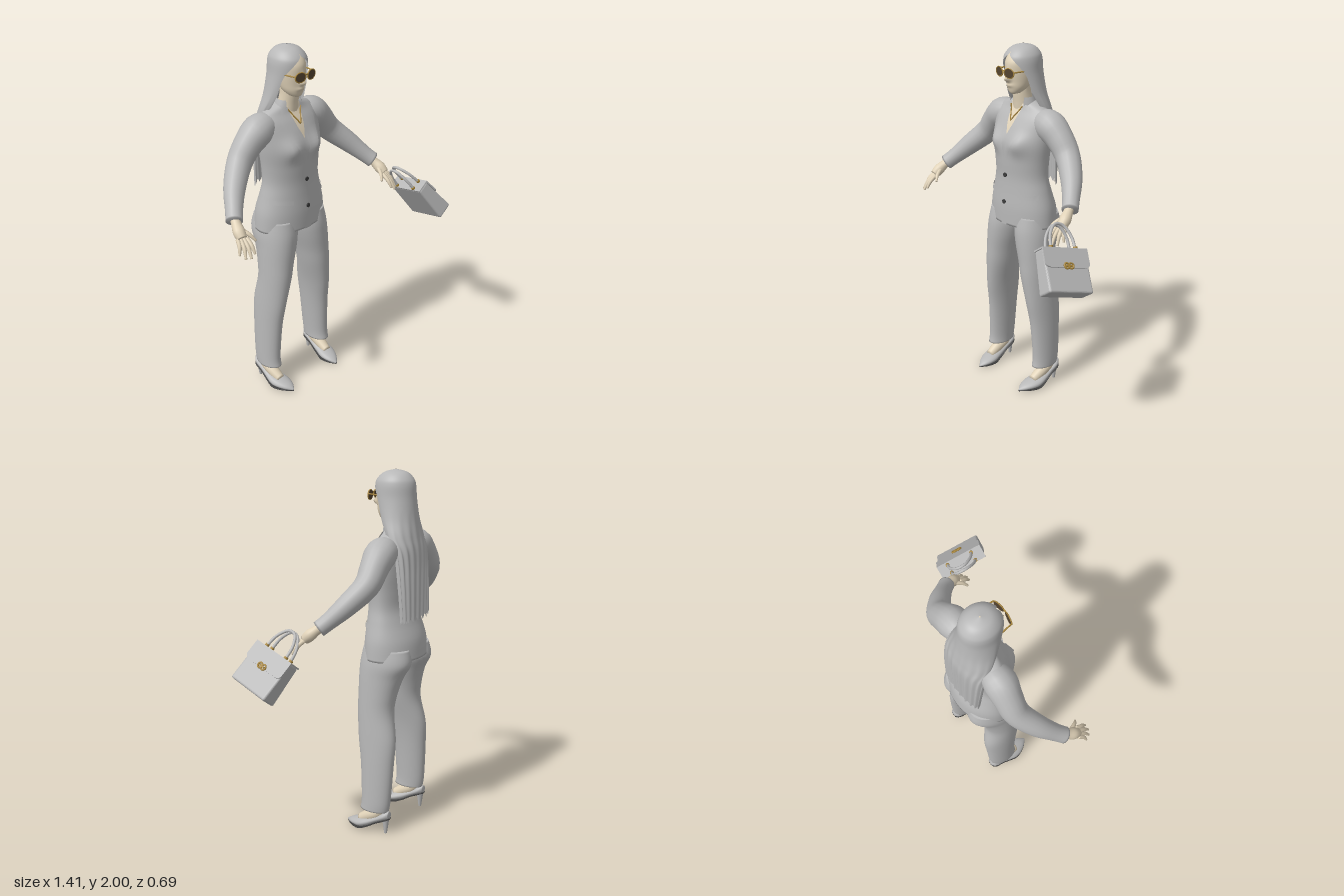
import * as THREE from 'three';
import { RoundedBoxGeometry } from 'three/addons/geometries/RoundedBoxGeometry.js';

const mat = (name, color, side = THREE.FrontSide) => {
  const m = new THREE.MeshStandardMaterial({ color, side });
  m.name = name;
  return m;
};
const V = (x, y, z) => new THREE.Vector3(x, y, z);

// Catmull-Rom resampling of rows of numbers
function resample(keys, n) {
  const out = [], last = keys.length - 1;
  for (let i = 0; i <= n; i++) {
    const f = (i / n) * last, k = Math.min(Math.floor(f), last - 1), t = f - k;
    const [a, b, c, d] = [k - 1, k, k + 1, k + 2].map((q) => keys[Math.min(Math.max(q, 0), last)]);
    out.push(b.map((_, j) => b[j] + 0.5 * t * (c[j] - a[j] + t * (2 * a[j] - 5 * b[j] + 4 * c[j] - d[j]
      + t * (3 * (b[j] - c[j]) + d[j] - a[j])))));
  }
  return out;
}

// Surface through rows of points; closed rows wrap round
function grid(rows, closed) {
  const n = rows[0].length, idx = [];
  for (let j = 0; j < rows.length - 1; j++) {
    for (let i = 0; i < (closed ? n : n - 1); i++) {
      const a = j * n + i, b = j * n + ((i + 1) % n);
      idx.push(a, b, b + n, a, b + n, a + n);
    }
  }
  const g = new THREE.BufferGeometry().setFromPoints(rows.flat());
  g.setIndex(idx);
  g.computeVertexNormals();
  return g;
}

// Add end caps by collapsing the first and last rows to their centres
function capped(rows) {
  const mid = (r) => {
    const c = r.reduce((s, p) => s.add(p), V(0, 0, 0)).divideScalar(r.length);
    return r.map(() => c.clone());
  };
  return grid([mid(rows[0]), ...rows, mid(rows[rows.length - 1])], true);
}

// Horizontal ellipse sections [y, cx, cz, halfWidth, front, back, opening]
function ring([y, cx, cz, rx, rf, rb, open = 0], n, closed = true) {
  return Array.from({ length: closed ? n : n + 1 }, (_, i) => {
    const a = open + (i / n) * 2 * (Math.PI - open), c = Math.cos(a);
    return V(cx + rx * Math.sin(a), y, cz + (c > 0 ? rf : rb) * c);
  });
}

// Limb of varying radius along points [x, y, z, radius]
function limb(pts, n = 24, sides = 18, ref = V(0, 0, 1)) {
  const k = resample(pts, n), P = k.map((p) => V(p[0], p[1], p[2]));
  return capped(P.map((p, j) => {
    const T = P[Math.min(j + 1, n)].clone().sub(P[Math.max(j - 1, 0)]).normalize();
    const N = ref.clone().cross(T).normalize(), B = T.clone().cross(N);
    return Array.from({ length: sides }, (_, i) => {
      const a = (i / sides) * Math.PI * 2;
      return p.clone().addScaledVector(N, k[j][3] * Math.cos(a)).addScaledVector(B, k[j][3] * Math.sin(a));
    });
  }));
}

function mirrored(geo) {
  const g = geo.index ? geo.toNonIndexed() : geo.clone();
  g.scale(-1, 1, 1);
  for (const at of Object.values(g.attributes)) {
    for (let i = 0; i < at.count; i += 3) {
      for (let c = 0; c < at.itemSize; c++) {
        const s = at.getComponent(i + 1, c);
        at.setComponent(i + 1, c, at.getComponent(i + 2, c));
        at.setComponent(i + 2, c, s);
      }
    }
  }
  return g;
}

// Jacket body sections and the bust shape
const torso = resample([
  [1.0, 0, -0.18, 0.222, 0.14, 0.168], [1.1, 0, -0.18, 0.215, 0.14, 0.155], [1.2, 0, -0.18, 0.193, 0.133, 0.118],
  [1.28, 0, -0.18, 0.178, 0.13, 0.095], [1.37, 0, -0.18, 0.182, 0.135, 0.097], [1.47, 0, -0.18, 0.195, 0.135, 0.105],
  [1.55, 0, -0.18, 0.2, 0.108, 0.11], [1.61, 0, -0.18, 0.198, 0.078, 0.1], [1.655, 0, -0.19, 0.165, 0.06, 0.08],
  [1.685, 0, -0.19, 0.1, 0.052, 0.06], [1.7, 0, -0.19, 0.06, 0.045, 0.045]], 60);
const bust = (x, y) => 0.026 * Math.exp(-(((Math.abs(x) - 0.085) / 0.05) ** 2) - ((y - 1.475) / 0.055) ** 2);
function front(x, y) {
  let i = torso.findIndex((r) => r[0] >= y);
  if (i < 1) i = i < 0 ? torso.length - 1 : 1;
  const a = torso[i - 1], b = torso[i], t = Math.min(1, Math.max(0, (y - a[0]) / (b[0] - a[0])));
  const [, , cz, rx, rf] = a.map((v, j) => v + (b[j] - v) * t);
  return cz + rf * Math.sqrt(Math.max(0, 1 - (x / rx) ** 2)) + bust(x, y);
}
// Thin cloth lying on the jacket front, between two edges listed bottom to top
function patch(left, right, off) {
  const at = (e, f) => {
    const k = Math.min(Math.floor(f), e.length - 2), t = f - k;
    return [e[k][0] + (e[k + 1][0] - e[k][0]) * t, e[k][1] + (e[k + 1][1] - e[k][1]) * t];
  };
  return grid(Array.from({ length: 25 }, (_, j) => {
    const f = (j / 24) * (left.length - 1), l = at(left, f), r = at(right, f);
    return Array.from({ length: 9 }, (_, i) => {
      const x = l[0] + (r[0] - l[0]) * i / 8, y = l[1] + (r[1] - l[1]) * i / 8;
      return V(x, y, front(x, y) + off);
    });
  }), false);
}

export function createModel() {
  const cloth = mat('grey cloth', 0xb8b8b8, THREE.DoubleSide);
  const skin = mat('skin', 0xe0d2b8, THREE.DoubleSide);
  const dark = mat('dark trim', 0x3c3c3c);
  const gold = mat('gold', 0xa8863c);
  const lens = mat('brown lens', 0x54432f);
  const model = new THREE.Group();
  const body = new THREE.Group();
  body.name = 'woman';
  body.position.x = -0.125;
  model.add(body);
  const add = (name, geo, m, parent = body) => {
    const mesh = new THREE.Mesh(geo, m);
    mesh.name = name;
    parent.add(mesh);
    return mesh;
  };
  const pair = (name, geo, m) => {
    add(name + 'Left', geo, m);
    add(name + 'Right', mirrored(geo), m);
  };

  // Jacket
  add('jacket', capped(torso.map((s) => ring(s, 48).map((p) => {
    if (p.z > s[2]) p.z += bust(p.x, p.y);
    return p;
  }))), cloth);
  pair('sleeve', limb([[0.12, 1.59, -0.2, 0.07], [0.19, 1.58, -0.2, 0.086], [0.262, 1.522, -0.205, 0.076],
    [0.33, 1.44, -0.2, 0.068], [0.42, 1.35, -0.14, 0.058], [0.485, 1.275, -0.075, 0.046], [0.52, 1.235, -0.035, 0.044]]), cloth);
  pair('lapel', patch([[0, 1.34], [0.012, 1.45], [0.03, 1.56], [0.042, 1.62], [0.05, 1.685]],
    [[0.006, 1.34], [0.06, 1.46], [0.105, 1.56], [0.118, 1.61], [0.085, 1.675]], 0.008), cloth);
  pair('pocketFlap', patch([[0.09, 1.16], [0.09, 1.187]], [[0.185, 1.172], [0.185, 1.197]], 0.007), cloth);
  add('frontOverlap', patch([[-0.025, 1.0], [-0.012, 1.34]], [[0.02, 1.0], [0.006, 1.34]], 0.004), cloth);
  add('collar', grid([[1.655, 0, -0.18, 0.088, 0.06, 0.08, 0.75], [1.69, 0, -0.175, 0.078, 0.06, 0.07, 0.75],
    [1.72, 0, -0.17, 0.066, 0.055, 0.06, 0.9]].map((s) => ring(s, 24, false)), false), cloth);
  for (const y of [1.29, 1.135]) {
    const b = add('jacketButton', new THREE.CylinderGeometry(0.012, 0.012, 0.008, 16), dark);
    b.rotation.x = Math.PI / 2;
    b.position.set(0, y, front(0, y) + 0.006);
  }
  for (let i = 0; i < 3; i++) {
    const b = new THREE.SphereGeometry(0.007, 8, 6);
    b.translate(0.535 - i * 0.014, 1.262 + i * 0.014, -0.072 - i * 0.014);
    pair('cuffButton', b, dark);
  }

  // Neckline and necklace
  const neckline = [[0, 1.52], [0.022, 1.58], [0.036, 1.64], [0.046, 1.69]];
  add('chest', patch(neckline.map(([x, y]) => [-x, y]), neckline, 0.004), skin);
  add('neck', limb([[0, 1.62, -0.185, 0.06], [0, 1.69, -0.175, 0.055], [0, 1.75, -0.165, 0.05], [0, 1.82, -0.165, 0.05]]), skin);
  const chain = [-0.045, -0.03, -0.012, 0, 0.012, 0.03, 0.045].map((x) => {
    const y = 1.595 + Math.abs(x) * 1.7;
    return V(x, y, front(x, y) + 0.009);
  });
  add('necklace', new THREE.TubeGeometry(new THREE.CatmullRomCurve3(chain), 30, 0.0035, 6), gold);

  // Head with nose and lips
  const bump = (p, y, w, h, d) => d * Math.exp(-((p.x / w) ** 2) - ((p.y - y) / h) ** 2);
  const head = resample([[1.738, 0, -0.115, 0.015, 0.02, 0.03], [1.748, 0, -0.125, 0.036, 0.04, 0.04],
    [1.775, 0, -0.14, 0.057, 0.063, 0.06], [1.81, 0, -0.155, 0.069, 0.081, 0.08], [1.86, 0, -0.165, 0.077, 0.097, 0.095],
    [1.91, 0, -0.165, 0.077, 0.096, 0.1], [1.95, 0, -0.17, 0.065, 0.075, 0.085], [1.975, 0, -0.17, 0.03, 0.035, 0.04]], 48);
  add('head', capped(head.map((s) => ring(s, 48).map((p) => {
    if (p.z > -0.14) p.z += bump(p, 1.822, 0.013, 0.017, 0.03) + bump(p, 1.85, 0.009, 0.025, 0.012) + bump(p, 1.787, 0.022, 0.01, 0.008);
    return p;
  }))), skin);

  // Long hair falling down the back, with soft strands
  const hair = resample([[2.0, 0, -0.175, 0.004, 0.004, 0.004, 0], [1.985, 0, -0.175, 0.055, 0.06, 0.062, 0],
    [1.955, 0, -0.175, 0.086, 0.097, 0.095, 0.05], [1.92, 0, -0.172, 0.098, 0.108, 0.112, 0.45],
    [1.85, 0, -0.172, 0.104, 0.1, 0.118, 0.98], [1.75, 0, -0.19, 0.12, 0.08, 0.112, 1.05],
    [1.66, 0, -0.225, 0.14, 0.06, 0.093, 1.1], [1.57, 0, -0.262, 0.148, 0.03, 0.07, 1.4],
    [1.4, 0, -0.285, 0.15, 0.01, 0.05, 1.5], [1.22, 0, -0.298, 0.142, 0.01, 0.038, 1.5]], 54).reverse();
  add('hair', grid(hair.map((s) => ring(s, 72, false).map((p, i) => {
    const w = Math.min(1, Math.max(0, (1.8 - p.y) * 3));
    p.z += 0.005 * w * Math.sin(i * 0.9);
    p.y += (p.y < 1.23 ? 0.012 : 0) * Math.sin(i * 1.7);
    return p;
  })), false), cloth);

  // Sunglasses
  const lensGeo = new THREE.CylinderGeometry(0.032, 0.032, 0.006, 24);
  lensGeo.rotateX(Math.PI / 2).scale(1, 0.8, 1).rotateY(0.18).translate(0.038, 1.862, -0.042);
  pair('lens', lensGeo, lens);
  const rim = new THREE.TorusGeometry(0.032, 0.0035, 6, 28);
  rim.scale(1, 0.8, 1).rotateY(0.18).translate(0.038, 1.862, -0.041);
  pair('lensRim', rim, gold);
  pair('glassesArm', new THREE.TubeGeometry(new THREE.LineCurve3(V(0.07, 1.87, -0.047), V(0.084, 1.868, -0.15)), 2, 0.004, 6), gold);
  add('glassesBridge', new THREE.BoxGeometry(0.02, 0.006, 0.006), gold).position.set(0, 1.872, -0.036);

  // Hands
  pair('palm', limb([[0.505, 1.25, -0.05, 0.026], [0.52, 1.225, -0.02, 0.026], [0.532, 1.198, 0.012, 0.032],
    [0.538, 1.172, 0.04, 0.026]], 14, 14), skin);
  [[0.585, 1.105, 0.07], [0.57, 1.09, 0.1], [0.546, 1.09, 0.115], [0.52, 1.105, 0.112], [0.478, 1.15, 0.075]].forEach(([x, y, z], i) => {
    const k = i < 4 ? [0.558 - i * 0.014, 1.172, 0.03 + i * 0.006] : [0.515, 1.205, 0.01];
    pair('finger', limb([[...k, 0.012], [(k[0] + x) / 2, (k[1] + y) / 2 + 0.004, (k[2] + z) / 2 + 0.008, 0.0105],
      [x, y, z, 0.006]], 10, 8), skin);
  });

  // Trousers
  pair('trouserLeg', capped(resample([[0.13, 0.196, -0.175, 0.055, 0.085, 0.09], [0.2, 0.195, -0.185, 0.056, 0.088, 0.09],
    [0.4, 0.185, -0.185, 0.061, 0.1, 0.1], [0.55, 0.172, -0.175, 0.068, 0.112, 0.113], [0.7, 0.151, -0.16, 0.081, 0.112, 0.1],
    [0.8, 0.138, -0.16, 0.09, 0.115, 0.11], [0.9, 0.122, -0.165, 0.102, 0.123, 0.135],
    [0.98, 0.111, -0.18, 0.109, 0.135, 0.16], [1.06, 0.105, -0.18, 0.1, 0.12, 0.145]], 44).map((s) => ring(s, 32))), cloth);

  // Feet and pointed heeled shoes: [z, bottom, top, halfWidth]
  pair('foot', limb([[0.197, 0.2, -0.205, 0.036], [0.197, 0.125, -0.205, 0.037], [0.198, 0.085, -0.15, 0.035],
    [0.195, 0.048, -0.085, 0.026]], 16, 16, V(1, 0, 0)), skin);
  const shoe = resample([[0.01, 0.004, 0.014, 0.004], [-0.02, 0.004, 0.034, 0.03], [-0.06, 0.004, 0.05, 0.048],
    [-0.1, 0.006, 0.062, 0.053], [-0.15, 0.026, 0.078, 0.045], [-0.2, 0.056, 0.1, 0.038],
    [-0.25, 0.08, 0.13, 0.036], [-0.275, 0.09, 0.135, 0.018]], 28);
  const shoeRows = (lo, hi) => shoe.map(([z, b, t, w]) => Array.from({ length: 20 }, (_, i) => {
    const a = (i / 20) * Math.PI * 2, x = 0.2 - 0.018 * Math.max(0, 1 + z / 0.12);
    const y0 = b + lo, y1 = hi === null ? t : b + hi;
    return V(x + w * Math.sin(a), (y0 + y1) / 2 + ((y1 - y0) / 2) * Math.cos(a), z);
  }));
  pair('shoe', capped(shoeRows(0, null)), cloth);
  pair('shoeSole', capped(shoeRows(-0.004, 0.008)), dark);
  const heel = new THREE.CylinderGeometry(0.022, 0.008, 0.1, 14);
  heel.translate(0.2, 0.05, -0.252);
  pair('shoeHeel', heel, cloth);

  // Handbag, tilted as it hangs from the left hand
  const bag = new THREE.Group();
  bag.name = 'handbag';
  const Y = V(-0.556, 0.764, -0.33).normalize();
  const Z = V(0.27, -0.35, -0.897).cross(Y).normalize();
  bag.quaternion.setFromRotationMatrix(new THREE.Matrix4().makeBasis(Y.clone().cross(Z), Y, Z));
  bag.position.set(0.575, 1.01, 0.18);
  model.add(bag);
  const box = new RoundedBoxGeometry(0.265, 0.23, 0.1, 3, 0.012);
  const bp = box.attributes.position;
  for (let i = 0; i < bp.count; i++) bp.setZ(i, bp.getZ(i) * (0.85 - bp.getY(i) * 1.3));
  box.computeVertexNormals();
  add('bagBody', box, cloth, bag);
  const flap = new THREE.Shape();
  flap.moveTo(-0.136, 0.004);
  flap.lineTo(-0.136, -0.08).quadraticCurveTo(-0.13, -0.1, -0.1, -0.102);
  flap.lineTo(0.1, -0.102).quadraticCurveTo(0.13, -0.1, 0.136, -0.08).lineTo(0.136, 0.004);
  const flapMesh = add('bagFlap', new THREE.ExtrudeGeometry(flap, { depth: 0.008, bevelEnabled: false }), cloth, bag);
  flapMesh.position.set(0, 0.115, 0.034);
  flapMesh.rotation.x = -0.066;
  add('bagFlapTop', new THREE.BoxGeometry(0.272, 0.008, 0.078), cloth, bag).position.set(0, 0.116, 0.002);
  for (const s of [-1, 1]) {
    const c = add('bagClasp', new THREE.TorusGeometry(0.014, 0.005, 8, 20), gold, bag);
    c.position.set(s * 0.013, 0.022, 0.053);
    add('bagHandle', limb([[-0.075, 0.11, 0.025 * s, 0.008], [-0.066, 0.185, 0.02 * s, 0.008], [-0.035, 0.24, 0.014 * s, 0.008],
      [0, 0.255, 0.012 * s, 0.008], [0.035, 0.24, 0.014 * s, 0.008], [0.066, 0.185, 0.02 * s, 0.008],
      [0.075, 0.11, 0.025 * s, 0.008]], 36, 10), cloth, bag);
    for (const x of [-0.075, 0.075]) {
      add('handleStud', new THREE.CylinderGeometry(0.011, 0.011, 0.014, 12), gold, bag).position.set(x, 0.125, 0.025 * s);
    }
  }
  add('claspBar', new THREE.BoxGeometry(0.036, 0.009, 0.009), gold, bag).position.set(0, 0.022, 0.053);
  return model;
}
